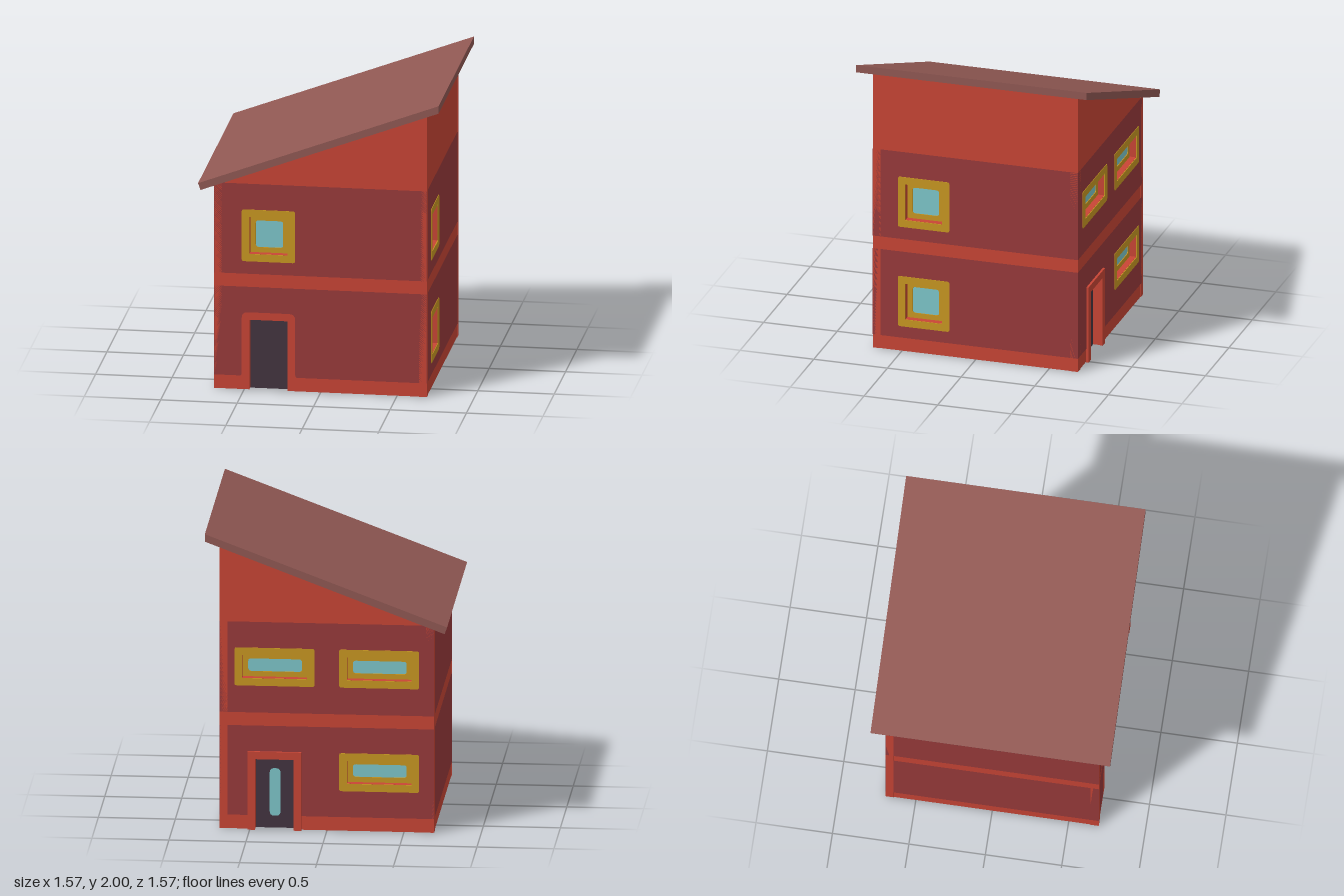
import * as THREE from 'three';

const mat = (name, color) => Object.assign(new THREE.MeshStandardMaterial({ color }), { name });

const H = 0.697;       // half width of the house
const FACE = 0.694;    // wall surface, with the painted plates just in front
const DEPTH = 0.05;    // depth of window and door recesses
const Y0 = 0.003;      // walls start just above the floor plate
const DOOR = { w: 0.25, top: 0.475, frame: 0.05, frameTop: 0.525 };

// Polygon from points
const poly = (pts) => new THREE.Shape(pts.map(([x, y]) => new THREE.Vector2(x, y)));

// Rounded rectangle about a centre
function roundRect(cx, cy, w, h, r, Type = THREE.Shape) {
  const s = new Type(), a = cx - w / 2, b = cx + w / 2, c = cy - h / 2, d = cy + h / 2;
  s.moveTo(a + r, c).lineTo(b - r, c).quadraticCurveTo(b, c, b, c + r);
  s.lineTo(b, d - r).quadraticCurveTo(b, d, b - r, d);
  s.lineTo(a + r, d).quadraticCurveTo(a, d, a, d - r);
  s.lineTo(a, c + r).quadraticCurveTo(a, c, a + r, c);
  return s;
}

// Four-sided strip, with a notch in its lower edge where a door stands
function strip(bottom, topLeft, topRight, doorX) {
  const pts = [[-H, bottom]];
  if (doorX !== undefined) {
    const a = doorX - DOOR.w / 2, b = doorX + DOOR.w / 2;
    pts.push([a, bottom], [a, DOOR.top], [b, DOOR.top], [b, bottom]);
  }
  pts.push([H, bottom], [H, topRight], [-H, topLeft]);
  return poly(pts);
}

export function createModel() {
  const red = mat('brick red', 0xc84535);
  const maroon = mat('maroon', 0x983a3b);
  const yellow = mat('frame yellow', 0xc89722);
  const glass = mat('glass blue', 0x7dc6ca);
  const plum = mat('door plum', 0x433440);
  const roofBrown = mat('roof brown', 0x905853);
  const black = mat('floor black', 0x050505);

  const house = new THREE.Group();
  house.name = 'house';

  // Shape standing in a wall's plane; its front lies at z
  function add(parent, name, shape, material, z, depth = 0) {
    const geo = depth
      ? new THREE.ExtrudeGeometry(shape, { depth, bevelEnabled: false, curveSegments: 4 })
      : new THREE.ShapeGeometry(shape, 4);
    const mesh = new THREE.Mesh(geo, material);
    mesh.name = name;
    mesh.position.z = z - depth;
    parent.add(mesh);
    return mesh;
  }

  // Wall with real openings, painted bands, window frames and recessed panes
  function buildWall(name, angle, topLeft, topRight, windows, doorX) {
    const wall = new THREE.Group();
    wall.name = name;
    wall.rotation.y = angle;
    house.add(wall);

    const base = strip(Y0, topLeft, topRight, doorX);
    const lower = strip(0.095, 0.697, 0.697, doorX);
    const upper = strip(0.785, 1.394, 1.394);

    for (const { x, y, w, h } of windows) {
      const hole = () => roundRect(x, y, w - 0.1, h - 0.1, 0.002, THREE.Path);
      base.holes.push(hole());
      (y < 0.7 ? lower : upper).holes.push(hole());

      const frame = roundRect(x, y, w, h, 0.016);
      frame.holes.push(hole());
      add(wall, 'windowFrame', frame, yellow, FACE + 0.006, 0.005);

      const sash = roundRect(x, y, w - 0.1, h - 0.1, 0.002);
      sash.holes.push(roundRect(x, y, w - 0.17, h - 0.17, 0.02, THREE.Path));
      add(wall, 'windowSash', sash, yellow, FACE - DEPTH + 0.008, 0.006);
      add(wall, 'windowGlass', roundRect(x, y, w - 0.16, h - 0.16, 0.02), glass, FACE - DEPTH + 0.003);
    }
    add(wall, 'wallShell', base, red, FACE, DEPTH);
    add(wall, 'lowerBand', lower, maroon, FACE + 0.003);
    add(wall, 'upperBand', upper, maroon, FACE + 0.003);

    if (doorX !== undefined) {
      const door = roundRect(doorX, DOOR.top / 2, DOOR.w, DOOR.top, 0.001);
      add(wall, 'door', door, plum, FACE - DEPTH + 0.001);
    }
    return wall;
  }

  const small = (x, y) => ({ x, y, w: 0.35, h: 0.35 });
  const wide = (x, y) => ({ x, y, w: 0.52, h: 0.255 });
  const LOW = 1.395, HIGH = 1.918;

  const front = buildWall('frontWall', 0, LOW, HIGH, [small(-0.34, 1.045)], -0.34);
  buildWall('leftWall', Math.PI / 2, HIGH, HIGH, [small(-0.35, 1.045), small(-0.35, 0.35)]);
  const back = buildWall('backWall', Math.PI, HIGH, LOW,
    [wide(-0.34, 1.093), wide(0.34, 1.093), wide(0.34, 0.397)], -0.34);
  buildWall('rightWall', -Math.PI / 2, LOW, LOW, []);

  // Inner and outer edges shared by both door surrounds
  const x0 = -0.34, a = x0 - DOOR.w / 2, b = x0 + DOOR.w / 2;
  const A = a - DOOR.frame, B = b + DOOR.frame, T = DOOR.frameTop;

  // Flat painted surround on the front, flaring into the base band
  const r = 0.04, f = 0.02, yb = 0.094;
  const surround = new THREE.Shape();
  surround.moveTo(A - f, yb).lineTo(a, yb).lineTo(a, DOOR.top).lineTo(b, DOOR.top).lineTo(b, yb).lineTo(B + f, yb);
  surround.quadraticCurveTo(B, yb, B, yb + f).lineTo(B, T - r).quadraticCurveTo(B, T, B - r, T);
  surround.lineTo(A + r, T).quadraticCurveTo(A, T, A, T - r);
  surround.lineTo(A, yb + f).quadraticCurveTo(A, yb, A - f, yb);
  add(front, 'doorSurround', surround, red, FACE + 0.005);

  // Raised frame and slim pane on the back door
  const frame = poly([[A, 0], [a, 0], [a, DOOR.top], [b, DOOR.top], [b, 0], [B, 0], [B, T], [A, T]]);
  add(back, 'doorFrame', frame, red, FACE + 0.018, 0.018);
  add(back, 'doorGlass', roundRect(x0, 0.24, 0.07, 0.32, 0.03), glass, FACE - DEPTH + 0.004);

  // Floor, notched at both doorways
  const n = FACE - DEPTH;
  const floorShape = poly([
    [-H, -H], [a, -H], [a, -n], [b, -n], [b, -H], [H, -H],
    [H, H], [-a, H], [-a, n], [-b, n], [-b, H], [-H, H],
  ]);
  const floor = new THREE.Mesh(new THREE.ShapeGeometry(floorShape), black);
  floor.name = 'floor';
  floor.rotation.x = Math.PI / 2;
  house.add(floor);

  // Sloping roof slab
  const roof = poly([[-0.772, 1.364], [0.785, 1.95], [0.785, 2], [-0.788, 1.41]]);
  add(house, 'roof', roof, roofBrown, 0.783, 1.566);

  return house;
}
